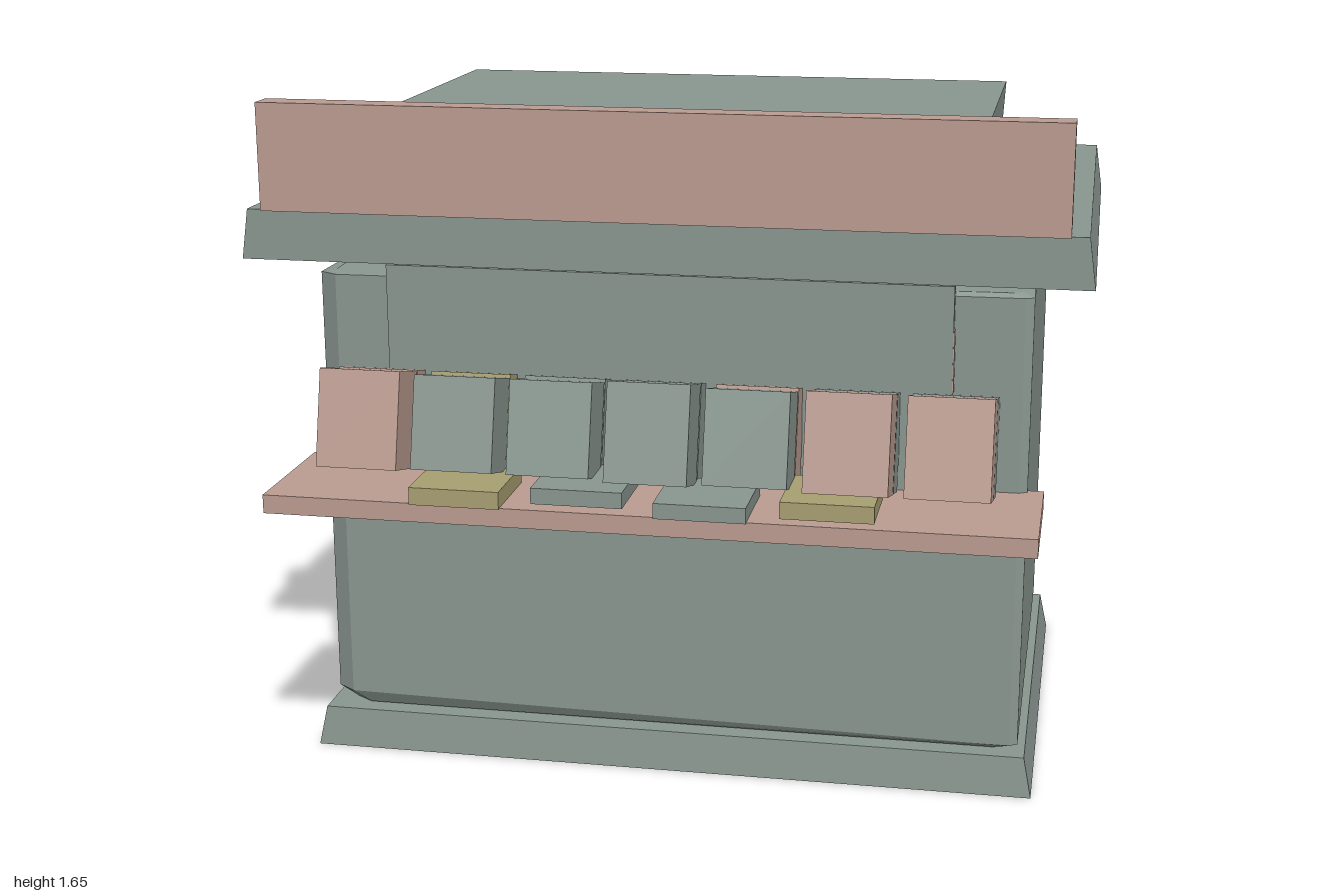
import * as THREE from 'three';

const material = (name, color) => {
  const m = new THREE.MeshStandardMaterial({ color });
  m.name = name;
  return m;
};

// Flat-faced solid skinned over rings of [x, y, z] corners, capped at both ends
function loft(rings) {
  const pos = [];
  const tri = (...corners) => corners.forEach((c) => pos.push(...c));
  const n = rings[0].length;
  for (let r = 0; r < rings.length - 1; r++) {
    for (let i = 0; i < n; i++) {
      const j = (i + 1) % n;
      const [a, b] = [rings[r][i], rings[r][j]];
      const [d, c] = [rings[r + 1][i], rings[r + 1][j]];
      tri(a, b, c);
      tri(a, c, d);
    }
  }
  const bottom = rings[0], top = rings[rings.length - 1];
  for (let i = 1; i < n - 1; i++) {
    tri(bottom[0], bottom[i + 1], bottom[i]);
    tri(top[0], top[i], top[i + 1]);
  }
  const g = new THREE.BufferGeometry();
  g.setAttribute('position', new THREE.Float32BufferAttribute(pos, 3));
  g.computeVertexNormals();
  return g;
}

// Rectangle ring, running from the front right of the model round to the back
const rect = (y, x, zFront, zBack) =>
  [[-x, y, zFront], [x, y, zFront], [x, y, zBack], [-x, y, zBack]];

// Cabin ring with unequal cut corners; its height follows y + sx * x + sz * z
function cabinRing(x, zF, zB, y, sx, sz) {
  return [
    [-x + 0.045, zF], [x - 0.02, zF], [x, zF - 0.012], [x, zB + 0.052],
    [x - 0.035, zB], [-x + 0.012, zB], [-x, zB + 0.012], [-x, zF - 0.03],
  ].map(([px, z]) => [px, y + sx * px + sz * z, z]);
}

export function createModel() {
  const grey = material('grey green', 0x8a9791);
  const pink = material('dusty pink', 0xbb9c91);
  const olive = material('olive', 0xa9a072);
  const group = new THREE.Group();

  const add = (name, geometry, mat, parent = group) => {
    const mesh = new THREE.Mesh(geometry, mat);
    mesh.name = name;
    parent.add(mesh);
    return mesh;
  };
  const box = (name, mat, x0, x1, y0, y1, z0, z1, parent) => {
    const mesh = add(name, new THREE.BoxGeometry(x1 - x0, y1 - y0, z1 - z0), mat, parent);
    mesh.position.set((x0 + x1) / 2, (y0 + y1) / 2, (z0 + z1) / 2);
    return mesh;
  };

  // Plinth, hollow underneath
  add('plinth', loft([
    rect(0.095, 0.876, 0.476, -0.666), rect(0, 0.896, 0.486, -0.686),
    rect(0, 0.9, 0.49, -0.69), rect(0.1, 0.88, 0.48, -0.67),
  ]), grey);

  // Cabin with worn, uneven chamfers
  add('cabin', loft([
    cabinRing(0.822, 0.435, -0.615, 0.103, 0, 0),
    cabinRing(0.862, 0.455, -0.656, 0.137, -0.012, -0.02),
    cabinRing(0.862, 0.455, -0.656, 0.0 + 1.22, 0.004, 0.01),
    cabinRing(0.832, 0.442, -0.615, 1.239, 0.009, -0.02),
  ]), grey);

  // Roof slabs
  add('lowerRoof', loft([rect(1.28, 0.998, 0.585, -0.788), rect(1.4, 0.981, 0.585, -0.767)]), grey);
  add('upperRoof', loft([rect(1.43, 0.725, 0.327, -0.53), rect(1.6, 0.735, 0.345, -0.535)]), grey);

  // Serving panel with two coloured strips on its edge
  box('frontPanel', grey, -0.68, 0.68, 0.61, 1.255, 0.44, 0.48);
  box('panelEdgeStrip', pink, 0.678, 0.683, 1.0, 1.15, 0.457, 0.478);
  box('panelEdgeStrip', olive, 0.678, 0.683, 0.65, 0.715, 0.457, 0.478);

  // Blank sign board and counter
  box('signBoard', pink, -0.94, 0.94, 1.4, 1.655, 0.535, 0.605);
  box('counter', pink, -0.9, 0.9, 0.715, 0.76, 0.43, 0.785);

  // Flat stacks on the counter, at slightly different heights
  const stacks = new THREE.Group();
  stacks.name = 'flatStacks';
  group.add(stacks);
  [[-0.435, olive, 0.758, 0.8], [-0.145, grey, 0.777, 0.815],
    [0.14, grey, 0.758, 0.795], [0.43, olive, 0.775, 0.815]]
    .forEach(([x, mat, y0, y1]) =>
      box('flatStack', mat, x - 0.107, x + 0.107, y0, y1, 0.58, 0.79, stacks));

  // Two rows of packets leaning back
  const rows = [
    { name: 'frontPacket', y: 0.917, z: 0.643, depth: 0.13,
      colors: [pink, grey, grey, grey, grey, pink, pink],
      heights: [0.232, 0.222, 0.222, 0.234, 0.222, 0.232, 0.232] },
    { name: 'backPacket', y: 0.888, z: 0.522, depth: 0.1,
      colors: [pink, olive, grey, grey, pink, grey, grey],
      heights: Array(7).fill(0.234) },
  ];
  for (const { name, y, z, depth, colors, heights } of rows) {
    const row = new THREE.Group();
    row.name = name + 'Row';
    group.add(row);
    colors.forEach((mat, i) => {
      const mesh = add(name, new THREE.BoxGeometry(0.195, heights[i], depth), mat, row);
      mesh.position.set(-0.687 + i * 0.23, y, z);
      mesh.rotation.x = -0.25;
    });
  }

  return group;
}
